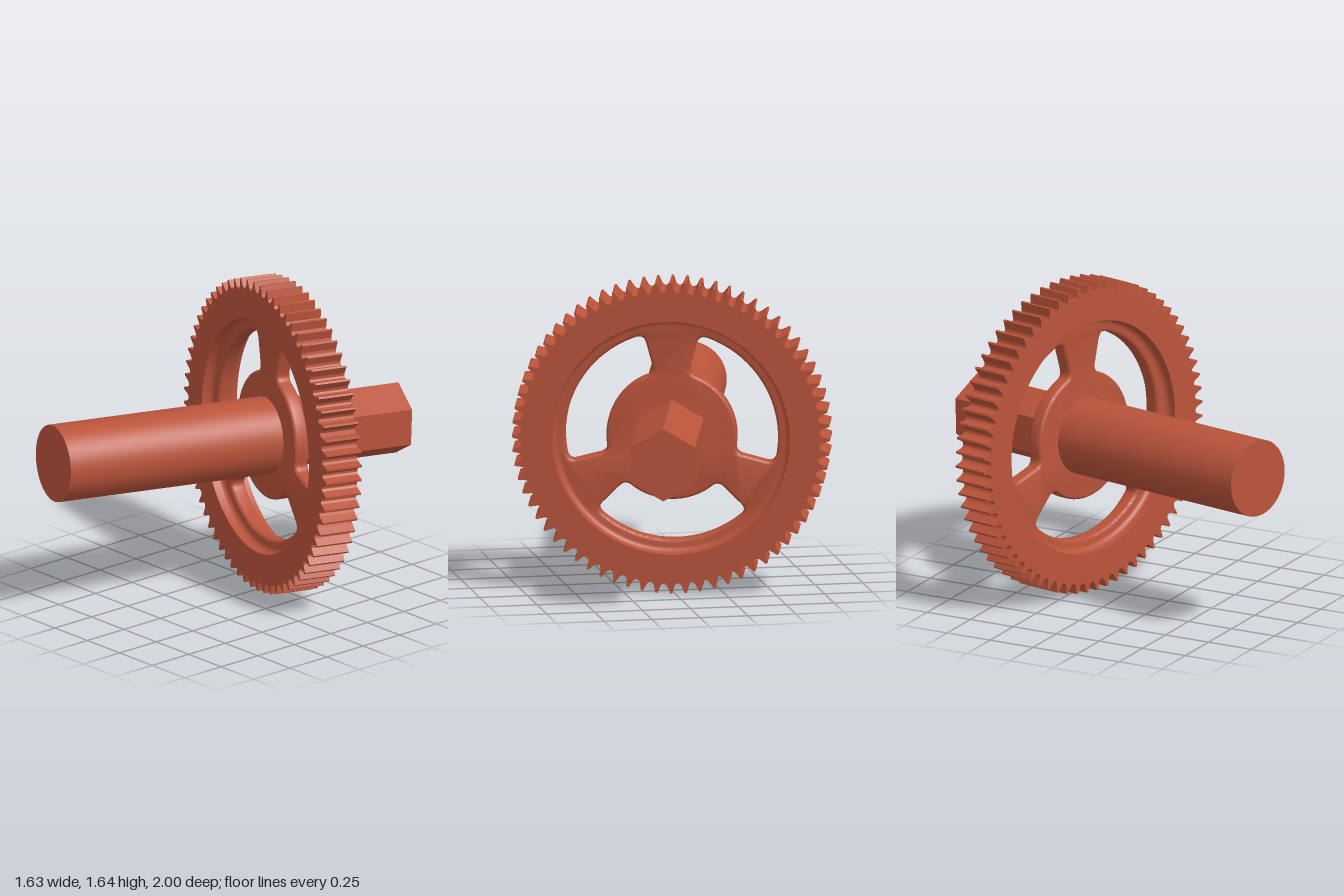
import * as THREE from 'three';
import { toCreasedNormals } from 'three/addons/utils/BufferGeometryUtils.js';

const TEETH = 68, TIP = 0.815, ROOT = 0.763, RECESS = 0.61;
const RIM_HALF = 0.1, WEB_HALF = 0.04;
const CENTRE = [0, 0.82, -0.27];
const polar = (r, a) => new THREE.Vector2(r * Math.cos(a), r * Math.sin(a));

// Toothed outline with a round bore
function rimShape() {
  const pitch = (2 * Math.PI) / TEETH;
  const profile = [[-0.42, ROOT], [-0.27, ROOT + 0.009], [-0.18, 0.79], [-0.07, TIP],
    [0.07, TIP], [0.18, 0.79], [0.27, ROOT + 0.009], [0.42, ROOT]];
  const points = [];
  for (let i = 0; i < TEETH; i++) {
    for (const [t, r] of profile) points.push(polar(r, Math.PI / 2 + (i + t) * pitch));
  }
  const shape = new THREE.Shape(points);
  shape.holes.push(new THREE.Path().absarc(0, 0, RECESS, 0, Math.PI * 2, true));
  return shape;
}

// Window between two spokes: a ring sector with rounded corners
function windowPath(a0, a1) {
  const ro = 0.545, ri = 0.335, c = 0.045;
  const path = new THREE.Path();
  const corner = (r, a, r2, a2) => {
    const k = polar(r, a), e = polar(r2, a2);
    path.quadraticCurveTo(k.x, k.y, e.x, e.y);
  };
  const line = (r, a) => { const p = polar(r, a); path.lineTo(p.x, p.y); };
  path.absarc(0, 0, ro, a0 + c / ro, a1 - c / ro, false);
  corner(ro, a1, ro - c, a1);
  line(ri + c, a1);
  corner(ri, a1, ri, a1 - c / ri);
  path.absarc(0, 0, ri, a1 - c / ri, a0 + c / ri, true);
  corner(ri, a0, ri + c, a0);
  line(ro - c, a0);
  corner(ro, a0, ro, a0 + c / ro);
  return path;
}

function webShape() {
  const shape = new THREE.Shape();
  shape.absarc(0, 0, RECESS + 0.05, 0, Math.PI * 2, false);
  for (let i = 0; i < 3; i++) {
    const start = THREE.MathUtils.degToRad(-15 + 120 * i);
    shape.holes.push(windowPath(start, start + Math.PI / 2));
  }
  return shape;
}

export function createModel() {
  const model = new THREE.Group();
  model.name = 'gearOnShaft';
  const material = new THREE.MeshStandardMaterial({ color: 0xb9533a });
  const openMaterial = material.clone();
  openMaterial.side = THREE.DoubleSide;

  const add = (name, geometry, mat = material) => {
    const mesh = new THREE.Mesh(geometry, mat);
    mesh.name = name;
    model.add(mesh);
    return mesh;
  };

  // Toothed rim
  const rim = new THREE.ExtrudeGeometry(rimShape(), {
    depth: 2 * RIM_HALF, bevelEnabled: false, curveSegments: 96,
  });
  rim.translate(0, 0, -RIM_HALF);
  add('toothedRim', toCreasedNormals(rim, 0.5));

  // Thin web with hub, three spokes and softened window edges
  const bevel = 0.015;
  const web = new THREE.ExtrudeGeometry(webShape(), {
    depth: 2 * (WEB_HALF - bevel), bevelThickness: bevel, bevelSize: bevel,
    bevelOffset: -bevel, bevelSegments: 3, curveSegments: 40,
  });
  web.translate(0, 0, -(WEB_HALF - bevel));
  add('spokedWeb', toCreasedNormals(web, 0.6));

  // Fillets where the web meets the rim, on both faces
  const f = 0.03;
  const arc = [];
  for (let i = 0; i <= 6; i++) {
    const a = (i / 6) * Math.PI / 2;
    arc.push(new THREE.Vector2(RECESS - f + f * Math.sin(a), WEB_HALF + f - f * Math.cos(a)));
  }
  for (const side of [1, -1]) {
    const fillet = new THREE.LatheGeometry(arc, 96);
    fillet.rotateX(side * Math.PI / 2);
    add(side > 0 ? 'frontFillet' : 'backFillet', fillet, openMaterial);
  }

  // Round shaft in front
  const frontLength = 1.257;
  const shaft = new THREE.CylinderGeometry(0.2, 0.2, frontLength, 64);
  shaft.rotateX(Math.PI / 2).translate(0, 0, frontLength / 2);
  add('roundShaft', shaft);

  // Hexagonal shaft behind, one corner up
  const backLength = 0.712;
  const hex = new THREE.CylinderGeometry(0.19, 0.19, backLength, 6).toNonIndexed();
  hex.computeVertexNormals();
  hex.rotateX(Math.PI / 2).translate(0, 0, -backLength / 2);
  add('hexShaft', hex);

  // Axle turned sideways and tipped slightly up
  model.rotation.set(THREE.MathUtils.degToRad(-2), THREE.MathUtils.degToRad(-15), 0, 'YXZ');
  model.position.set(...CENTRE);
  const root = new THREE.Group();
  root.add(model);
  return root;
}
